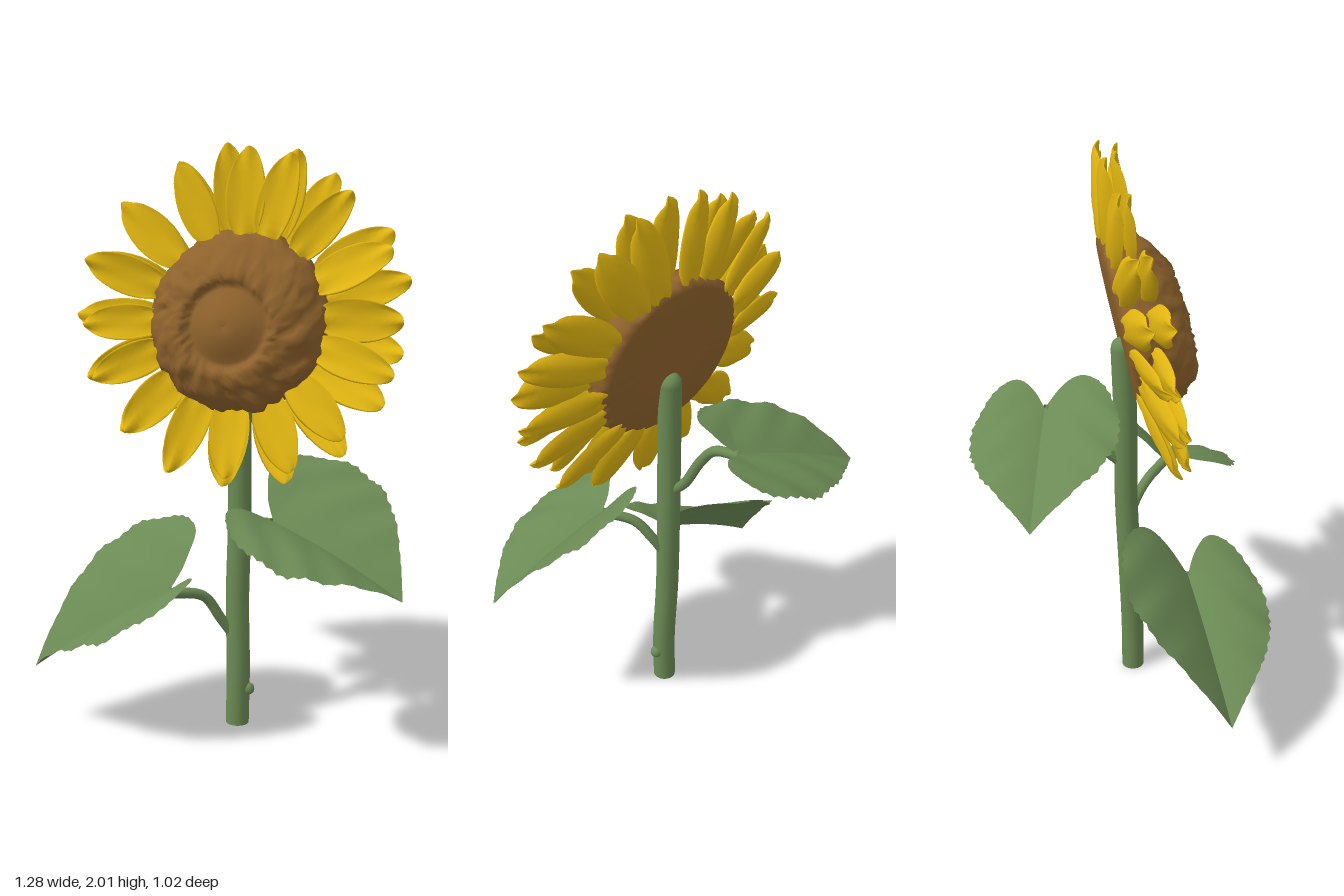
import * as THREE from 'three';

const V = (x, y, z) => new THREE.Vector3(x, y, z);

// repeatable noise in 0..1
function hash(a, b = 0) {
  const s = Math.sin(a * 127.1 + b * 311.7) * 43758.5453;
  return s - Math.floor(s);
}

function mesh(name, geometry, material) {
  const m = new THREE.Mesh(geometry, material);
  m.name = name;
  return m;
}

function tube(points, radius, sides = 12) {
  return new THREE.TubeGeometry(new THREE.CatmullRomCurve3(points), 30, radius, sides);
}

// Heart-shaped leaf: notch and tip set the axis, sideA and sideB the two half widths
function leafGeometry(notch, tip, sideA, sideB) {
  const half = new THREE.SplineCurve([
    [0, 0], [-0.14, 0.18], [-0.25, 0.48], [-0.16, 0.82], [0.1, 1], [0.36, 0.95], [0.62, 0.68], [0.85, 0.29], [1, 0],
  ].map(([u, v]) => new THREE.Vector2(u, v))).getPoints(56);
  const axis = tip.clone().sub(notch);
  const rings = 12, n = half.length;
  const pos = [], idx = [];
  for (const sign of [1, -1]) {
    const side = sign > 0 ? sideA : sideB;
    const start = pos.length / 3;
    for (let k = 0; k <= rings; k++) {
      half.forEach((p, i) => {
        // rings run from the midrib out to the toothed margin
        const f = k / rings;
        const tooth = k === rings && i > 16 && i < n - 2 && i % 2 ? 0.965 : 1;
        const u = THREE.MathUtils.lerp(Math.max(p.x, 0), p.x, f);
        const v = p.y * f * tooth;
        const lift = 0.11 * v * (1 - v) + 0.06 * Math.max(u, 0) * (1 - u)
          + 0.008 * Math.sin((u - v * 0.4) * 17) * v;
        const q = notch.clone().addScaledVector(axis, u).addScaledVector(side, v);
        pos.push(q.x, q.y + lift, q.z);
      });
    }
    for (let k = 0; k < rings; k++) for (let i = 0; i < n - 1; i++) {
      const a = start + k * n + i, b = a + n;
      if (sign > 0) idx.push(a, a + 1, b, b, a + 1, b + 1);
      else idx.push(a, b, a + 1, b, b + 1, a + 1);
    }
  }
  const g = new THREE.BufferGeometry();
  g.setAttribute('position', new THREE.Float32BufferAttribute(pos, 3));
  g.setIndex(idx);
  g.computeVertexNormals();
  return g;
}

// Thin closed petal along +y, cupped across and curling forward
function petalGeometry(length, width, curl) {
  const g = new THREE.SphereGeometry(1, 14, 14);
  const p = g.attributes.position;
  for (let i = 0; i < p.count; i++) {
    const x = p.getX(i), y = p.getY(i), z = p.getZ(i);
    const t = (y + 1) / 2;
    const taper = 1 - 0.22 * t * t * t;
    const groove = 0.01 * Math.cos(x * 7) * (1 - x * x);
    p.setXYZ(i, x * taper * width / 2, t * length,
      z * 0.011 + 0.022 * x * x + groove + curl * t * t);
  }
  g.computeVertexNormals();
  return g;
}

// Domed seed head with a rough rim and a smooth centre
function seedHeadGeometry() {
  const profile = [
    [0, 0], [0.14, 0], [0.27, 0], [0.295, 0.02], [0.3, 0.045], [0.302, 0.07], [0.298, 0.095],
    [0.29, 0.12], [0.275, 0.143], [0.258, 0.163], [0.24, 0.18], [0.22, 0.195], [0.2, 0.207],
    [0.18, 0.216], [0.16, 0.22], [0.145, 0.215], [0.135, 0.197], [0.12, 0.2], [0.095, 0.215],
    [0.07, 0.226], [0.045, 0.236], [0.02, 0.24], [0, 0.234],
  ];
  const segs = 84;
  const g = new THREE.LatheGeometry(profile.map(([r, y]) => new THREE.Vector2(r, y)), segs);
  g.rotateX(Math.PI / 2);
  const p = g.attributes.position, n = profile.length;
  for (let i = 0; i < p.count; i++) {
    const j = i % n, s = Math.floor(i / n) % segs;
    let k = 1, dz = 0;
    if (j > 2 && j < 16) {
      const clump = hash(Math.floor(s / 3), Math.floor(j / 2) + 40);
      k = 1 + 0.05 * (hash(s, j) - 0.5) + 0.05 * (clump - 0.5);
      dz = 0.016 * (hash(s + 9, j + 5) - 0.5) + 0.014 * (clump - 0.5);
    }
    const z = p.getZ(i) + dz;
    p.setXYZ(i, p.getX(i) * k, p.getY(i) * k - 0.2 * z, z);
  }
  g.computeVertexNormals();
  return g;
}

export function createModel() {
  const green = new THREE.MeshStandardMaterial({ color: 0x6b8a54, side: THREE.DoubleSide });
  green.name = 'leafGreen';
  const yellow = new THREE.MeshStandardMaterial({ color: 0xe2b611 });
  yellow.name = 'petalYellow';
  const brown = new THREE.MeshStandardMaterial({ color: 0x8e622c });
  brown.name = 'seedBrown';

  const flower = new THREE.Group();
  flower.name = 'sunflower';

  // Stem with closed ends and a small stub near the foot
  const stem = new THREE.Group();
  stem.name = 'stem';
  stem.add(mesh('stalk', tube([
    V(0.022, 0, 0.065), V(0.025, 0.2, 0.062), V(0.018, 0.45, 0.05), V(0.022, 0.75, 0.036),
    V(0.02, 1.05, 0.032), V(0.025, 1.33, 0.022)], 0.041, 16), green));
  const foot = mesh('stemFoot', new THREE.CircleGeometry(0.041, 16), green);
  foot.rotation.x = Math.PI / 2;
  foot.position.set(0.022, 0.002, 0.065);
  const crown = mesh('stemTop', new THREE.SphereGeometry(0.041, 16, 10), green);
  crown.position.set(0.025, 1.33, 0.022);
  const stub = mesh('stemStub', new THREE.SphereGeometry(0.022, 10, 8), green);
  stub.position.set(0.063, 0.13, 0.065);
  stem.add(foot, crown, stub);
  flower.add(stem);

  // Leaves on curved leaf stalks
  const leaves = [
    { name: 'leftLeaf', notch: V(0.19, 0.79, 0.2), tip: V(0.64, 0.58, 0.27),
      a: V(-0.02, -0.04, 0.27), b: V(0.15, 0.17, -0.25),
      stalk: [V(0.03, 0.6, 0.045), V(0.07, 0.68, 0.07), V(0.11, 0.75, 0.12), V(0.19, 0.785, 0.2)] },
    { name: 'rightLeaf', notch: V(-0.17, 0.52, 0.23), tip: V(-0.645, 0.22, 0.3),
      a: V(0, -0.03, 0.255), b: V(-0.15, 0.18, -0.27),
      stalk: [V(0.02, 0.3, 0.055), V(-0.03, 0.39, 0.09), V(-0.08, 0.48, 0.13), V(-0.17, 0.515, 0.23)] },
    { name: 'backLeaf', notch: V(-0.03, 1.15, -0.25), tip: V(-0.505, 0.96, -0.345),
      a: V(0.03, -0.05, -0.24), b: V(-0.14, 0.04, 0.24),
      stalk: [V(0.02, 0.88, 0.03), V(0.015, 0.95, -0.04), V(0, 1.06, -0.1), V(-0.01, 1.13, -0.16), V(-0.03, 1.145, -0.25)] },
  ];
  for (const l of leaves) {
    const leaf = new THREE.Group();
    leaf.name = l.name;
    leaf.add(mesh('leafStalk', tube(l.stalk, 0.018, 10), green),
      mesh('leafBlade', leafGeometry(l.notch, l.tip, l.a, l.b), green));
    flower.add(leaf);
  }

  // Flower head, leaning back
  const head = new THREE.Group();
  head.name = 'flowerHead';
  head.position.set(0.03, 1.432, 0);
  head.rotation.x = -0.21;
  head.add(mesh('seedHead', seedHeadGeometry(), brown));

  // Two staggered rows of petals
  const rows = [
    { name: 'frontPetal', count: 16, tip: 0.565, z: 0.085, curl: 0.035, turn: 0.1 },
    { name: 'backPetal', count: 17, tip: 0.585, z: 0.015, curl: 0.06, turn: 0.3 },
  ];
  rows.forEach((row, r) => {
    for (let i = 0; i < row.count; i++) {
      const a = (i + row.turn + 0.3 * (hash(i, r) - 0.5)) / row.count * Math.PI * 2;
      const base = 0.25, tip = row.tip - 0.03 * hash(i, r + 7);
      const width = 0.125 + 0.025 * hash(i, r + 3);
      const petal = mesh(row.name, petalGeometry(tip - base, width, row.curl + 0.03 * (hash(i, r + 11) - 0.5)), yellow);
      petal.position.set(-Math.sin(a) * base * 1.04, Math.cos(a) * base, row.z + 0.02 * (hash(i, r + 5) - 0.5));
      petal.rotation.set(0, 0.5 * (hash(i, r + 17) - 0.5), a, 'ZXY');
      head.add(petal);
    }
  });
  flower.add(head);
  return flower;
}
